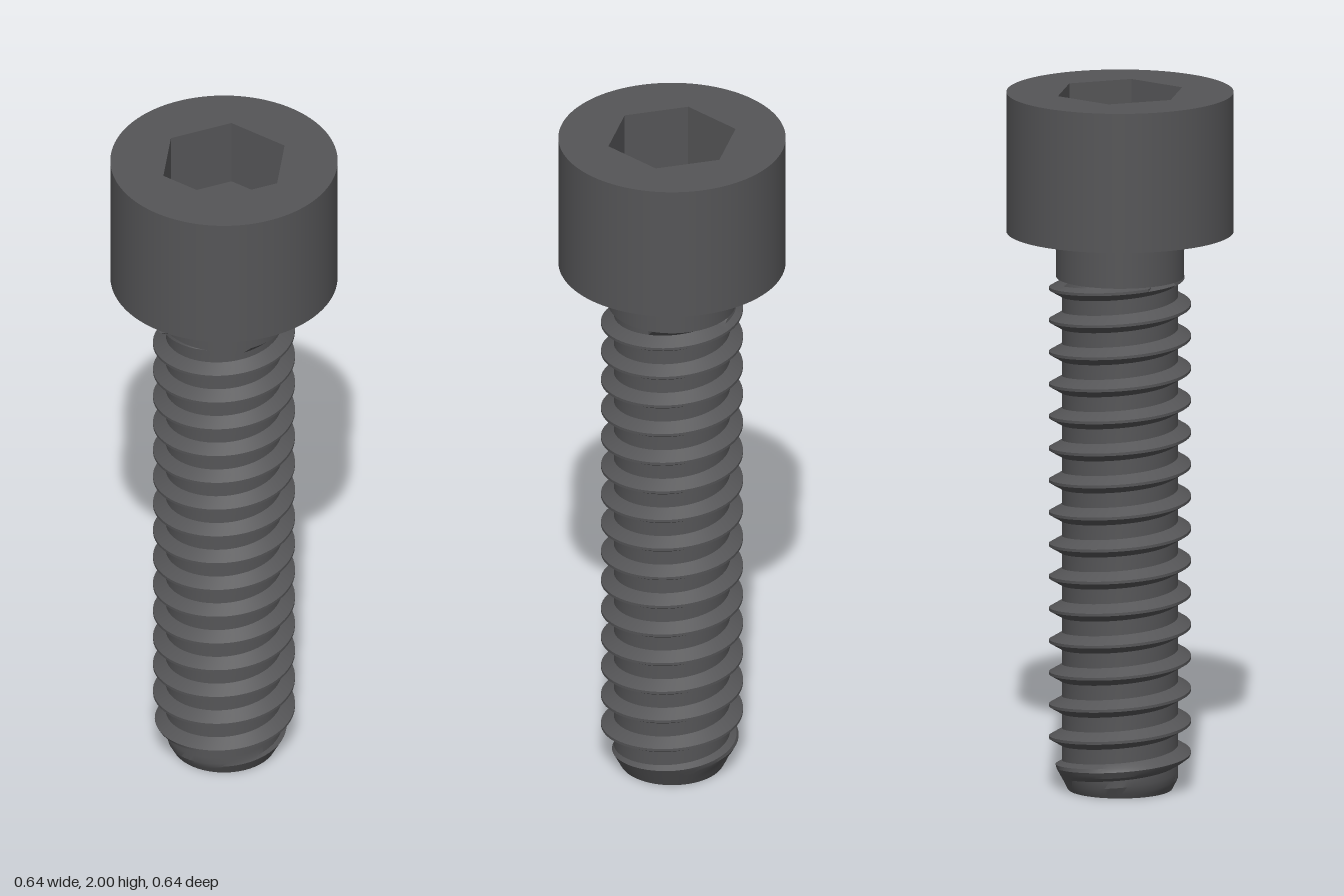
import * as THREE from 'three';
import { toCreasedNormals } from 'three/addons/utils/BufferGeometryUtils.js';

const HEAD_R = 0.32, HEAD_Y = 1.6, TOP = 2, SOCKET_R = 0.186, SOCKET_DEPTH = 0.2;
const NECK_R = 0.18, THREAD_TOP = 1.47, TIP_R = 0.147;
const PITCH = 0.092, FIRST_CREST = 0.054;

// Thread profile over one pitch: [axial offset, radius]
const PROFILE = [
  [-0.004, 0.2], [0.004, 0.2], [0.0145, 0.182], [0.025, 0.164],
  [0.046, 0.164], [0.067, 0.164], [0.0775, 0.182],
];

// Right-handed helical surface, cut by a chamfer at the tip and run into the neck at the top
function threadGeometry(segments = 64) {
  const point = (i, row) => {
    const turn = Math.floor(row / PROFILE.length) - 2;
    const [offset, radius] = PROFILE[row % PROFILE.length];
    const raw = FIRST_CREST + PITCH * (turn + i / segments) + offset;
    const y = THREE.MathUtils.clamp(raw, 0, THREAD_TOP);
    const r = raw >= THREAD_TOP ? NECK_R : Math.min(radius, TIP_R + 0.53 * y);
    const a = (i / segments) * Math.PI * 2;
    return new THREE.Vector3(r * Math.cos(a), y, -r * Math.sin(a));
  };
  const positions = [];
  const triangle = new THREE.Triangle();
  const addTriangle = (a, b, c) => {
    if (triangle.set(a, b, c).getArea() < 1e-9) return;
    for (const p of [a, b, c]) positions.push(p.x, p.y, p.z);
  };
  const rows = PROFILE.length * 19;
  for (let row = 0; row < rows; row++) {
    for (let i = 0; i < segments; i++) {
      const a = point(i, row), b = point(i + 1, row);
      const c = point(i + 1, row + 1), d = point(i, row + 1);
      addTriangle(a, b, c);
      addTriangle(a, c, d);
    }
  }
  const geometry = new THREE.BufferGeometry();
  geometry.setAttribute('position', new THREE.Float32BufferAttribute(positions, 3));
  return toCreasedNormals(geometry, 0.45);
}

// Flat horizontal face, facing up or down
function flatFace(geometry, y, up = true) {
  return geometry.rotateX(up ? -Math.PI / 2 : Math.PI / 2).translate(0, y, 0);
}

export function createModel() {
  const group = new THREE.Group();
  const steel = new THREE.MeshStandardMaterial({ color: 0x555557 });
  steel.name = 'dark steel';
  const add = (name, geometry) => {
    const mesh = new THREE.Mesh(geometry, steel);
    mesh.name = name;
    group.add(mesh);
  };

  // Cylindrical head
  const headHeight = TOP - HEAD_Y;
  add('headSide', new THREE.CylinderGeometry(HEAD_R, HEAD_R, headHeight, 96, 1, true)
    .translate(0, HEAD_Y + headHeight / 2, 0));
  add('headUnderside', flatFace(new THREE.RingGeometry(NECK_R, HEAD_R, 96), HEAD_Y, false));

  // Head top with a hexagonal opening
  const top = new THREE.Shape().absarc(0, 0, HEAD_R, 0, Math.PI * 2);
  const corners = [];
  for (let i = 0; i < 6; i++) {
    const a = Math.PI / 2 - i * Math.PI / 3;
    corners.push(new THREE.Vector2(SOCKET_R * Math.cos(a), SOCKET_R * Math.sin(a)));
  }
  top.holes.push(new THREE.Path(corners));
  add('headTop', flatFace(new THREE.ShapeGeometry(top, 96), TOP));

  // Hex socket: walls turned inward, and a floor
  const walls = new THREE.CylinderGeometry(SOCKET_R, SOCKET_R, SOCKET_DEPTH, 6, 1, true)
    .toNonIndexed();
  // Swap two corners of each triangle so the walls face the axis
  const p = walls.attributes.position;
  const a = new THREE.Vector3(), b = new THREE.Vector3();
  for (let i = 0; i < p.count; i += 3) {
    a.fromBufferAttribute(p, i + 1);
    b.fromBufferAttribute(p, i + 2);
    p.setXYZ(i + 1, b.x, b.y, b.z);
    p.setXYZ(i + 2, a.x, a.y, a.z);
  }
  walls.translate(0, TOP - SOCKET_DEPTH / 2, 0).computeVertexNormals();
  add('socketWalls', walls);
  add('socketFloor', flatFace(new THREE.CircleGeometry(SOCKET_R, 6, Math.PI / 2), TOP - SOCKET_DEPTH));

  // Plain neck, thread and flat tip
  const neckHeight = HEAD_Y - THREAD_TOP;
  add('neck', new THREE.CylinderGeometry(NECK_R, NECK_R, neckHeight, 64, 1, true)
    .translate(0, THREAD_TOP + neckHeight / 2, 0));
  add('thread', threadGeometry());
  add('tip', flatFace(new THREE.CircleGeometry(TIP_R, 64), 0, false));

  return group;
}
